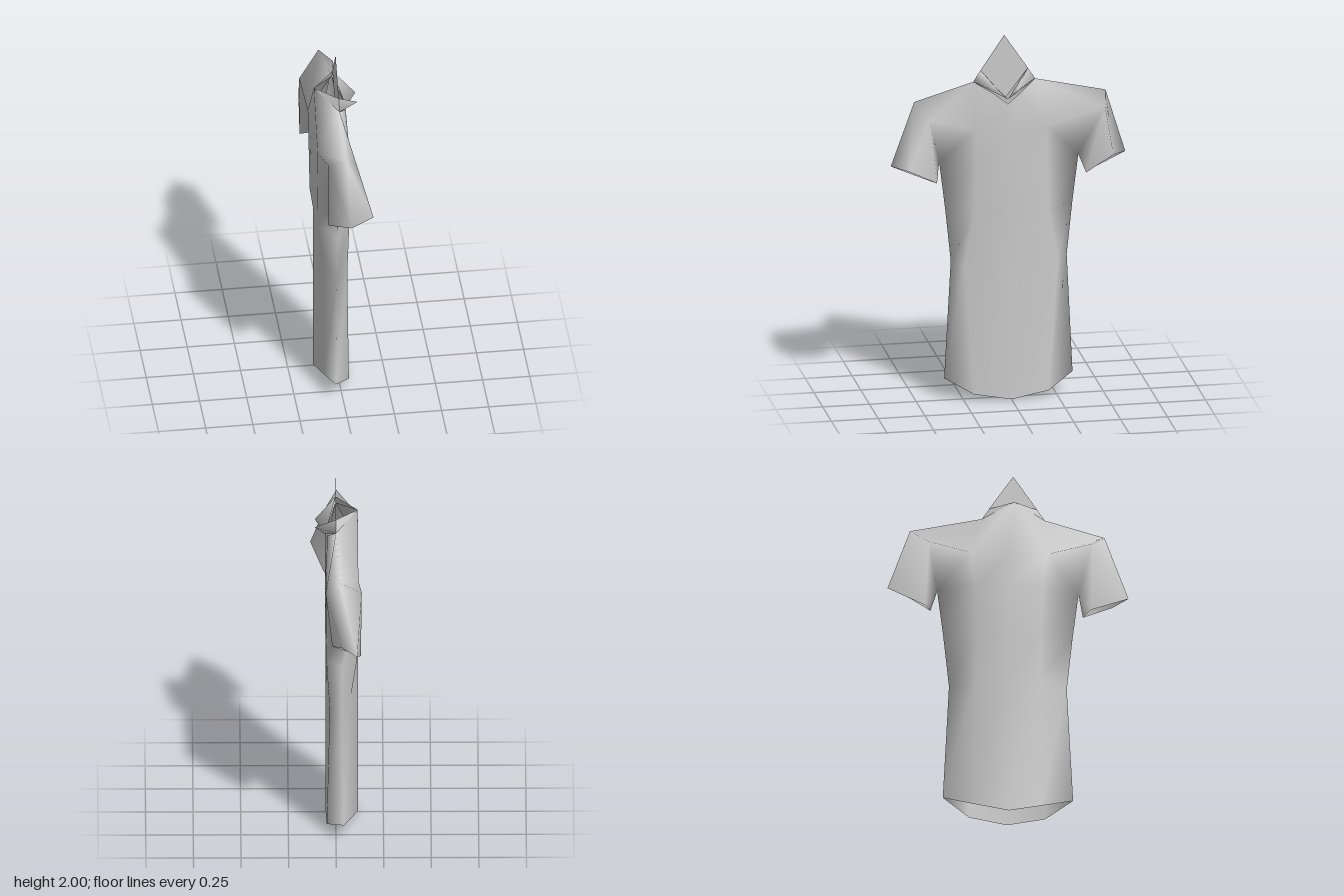
import * as THREE from 'three';
import { mergeVertices } from 'three/addons/utils/BufferGeometryUtils.js';

// Smooth surface from a list of triangles, skipping collapsed ones
function surface(tris) {
  const kept = tris.filter(([a, b, c]) => {
    const p = a.map((v, i) => b[i] - v), q = a.map((v, i) => c[i] - v);
    return new THREE.Vector3(...p).cross(new THREE.Vector3(...q)).length() > 1e-6;
  });
  let g = new THREE.BufferGeometry();
  g.setAttribute('position', new THREE.Float32BufferAttribute(kept.flat(2), 3));
  g = mergeVertices(g);
  g.computeVertexNormals();
  return g;
}

// Skin between two closed rings of equal length
function skin(lower, upper, flip = false) {
  const tris = [], n = lower.length;
  for (let i = 0; i < n; i++) {
    const j = (i + 1) % n;
    const pair = [[lower[i], lower[j], upper[j]], [lower[i], upper[j], upper[i]]];
    for (const t of pair) tris.push(flip ? [t[0], t[2], t[1]] : t);
  }
  return tris;
}

// Torso ring: side, front, front middle, front, side, back, back middle, back
function ring({ side, front, mid, back, backMid }) {
  const m = ([x, y, z]) => [x, y, -z];
  return [side, front, mid, m(front), m(side), m(back), backMid, back];
}

export function createModel() {
  const model = new THREE.Group();
  const cloth = new THREE.MeshStandardMaterial({ color: 0xcccccc, side: THREE.DoubleSide });
  cloth.name = 'grey cloth';

  const add = (name, tris) => {
    const mesh = new THREE.Mesh(surface(tris), cloth);
    mesh.name = name;
    model.add(mesh);
  };

  // Torso rings from hem to chest; the lower back narrows to a wedge
  const hem = ring({ side: [-0.04, 0.11, 0.343], front: [0.048, 0.04, 0.2], mid: [0.053, 0.003, 0], back: [-0.08, 0.058, 0.17], backMid: [-0.117, 0.01, 0] });
  const waist = ring({ side: [-0.03, 0.76, 0.31], front: [0.033, 0.75, 0.25], mid: [0.053, 0.75, 0], back: [-0.08, 0.8, 0.17], backMid: [-0.117, 0.8, 0] });
  const ribs = ring({ side: [-0.03, 1.05, 0.34], front: [0.05, 1.03, 0.2], mid: [0.055, 1.03, 0], back: [-0.112, 1.02, 0.17], backMid: [-0.117, 1.02, 0] });
  const armpit = ring({ side: [-0.03, 1.31, 0.372], front: [0.052, 1.31, 0.19], mid: [0.057, 1.31, 0], back: [-0.116, 1.31, 0.18], backMid: [-0.117, 1.31, 0] });
  const chest = ring({ side: [-0.03, 1.31, 0.372], front: [0.052, 1.5, 0.19], mid: [0.057, 1.5, 0], back: [-0.118, 1.5, 0.2], backMid: [-0.117, 1.5, 0] });

  // Neckline: one high point at the back, low at the front
  const rear = [-0.115, 1.8, 0.03];
  const neck = [
    [0, 1.75, 0.195], [0.045, 1.69, 0.09], [0.055, 1.635, 0.02], [0.045, 1.69, -0.05],
    [0, 1.75, -0.135], rear, rear, rear,
  ];
  const shirt = [
    ...skin(hem, waist), ...skin(waist, ribs), ...skin(ribs, armpit), ...skin(armpit, chest),
  ];
  // Yoke, left open at the armholes
  const holes = [chest[0], chest[4]];
  shirt.push(...skin(chest, neck).filter((t) => !t.some((p) => holes.includes(p))));
  shirt.push([chest[1], neck[1], neck[0]], [chest[5], neck[5], neck[4]]);

  // Sleeves: armhole, shoulder and cuff rings ordered top, front, bottom, back
  const leftSleeve = [
    [neck[0], chest[1], chest[0], chest[7]],
    [[-0.005, 1.655, 0.51], [0.06, 1.57, 0.44], [-0.03, 1.31, 0.372], [-0.09, 1.58, 0.44]],
    [[0.005, 1.31, 0.637], [0.132, 1.315, 0.56], [0.06, 1.22, 0.4], [-0.09, 1.197, 0.435]],
  ];
  const rightSleeve = [
    [neck[4], chest[3], chest[4], chest[5]],
    [[-0.02, 1.66, -0.515], [0.055, 1.59, -0.5], [-0.03, 1.31, -0.372], [-0.135, 1.55, -0.42]],
    [[-0.11, 1.285, -0.638], [-0.03, 1.295, -0.56], [0.02, 1.22, -0.405], [-0.13, 1.182, -0.44]],
  ];
  for (const [rings, flip] of [[leftSleeve, true], [rightSleeve, false]]) {
    for (let k = 0; k < 2; k++) shirt.push(...skin(rings[k], rings[k + 1], flip));
  }
  add('shirtBody', shirt);

  // Upright kite-shaped panel standing in the neck opening
  const peak = [0, 2, 0.03], low = [0, 1.65, 0.025];
  const topLeft = [0, 1.81, 0.157], topRight = [0, 1.81, -0.097];
  add('neckPanel', [[peak, topLeft, topRight], [topLeft, low, topRight]]);

  // Collar sides and folded front points
  const throat = [0.055, 1.66, 0.02];
  for (const [name, top, base, tipZ] of [['left', topLeft, neck[0], 0.072], ['right', topRight, neck[4], -0.015]]) {
    const tip = [0.11, 1.72, tipZ];
    const face = (t) => (name === 'left' ? t : [t[0], t[2], t[1]]);
    add(name + 'CollarSide', [face([base, top, rear])]);
    add(name + 'CollarPoint', [[base, tip, top], [base, throat, tip], [top, tip, throat]].map(face));
  }

  return model;
}
